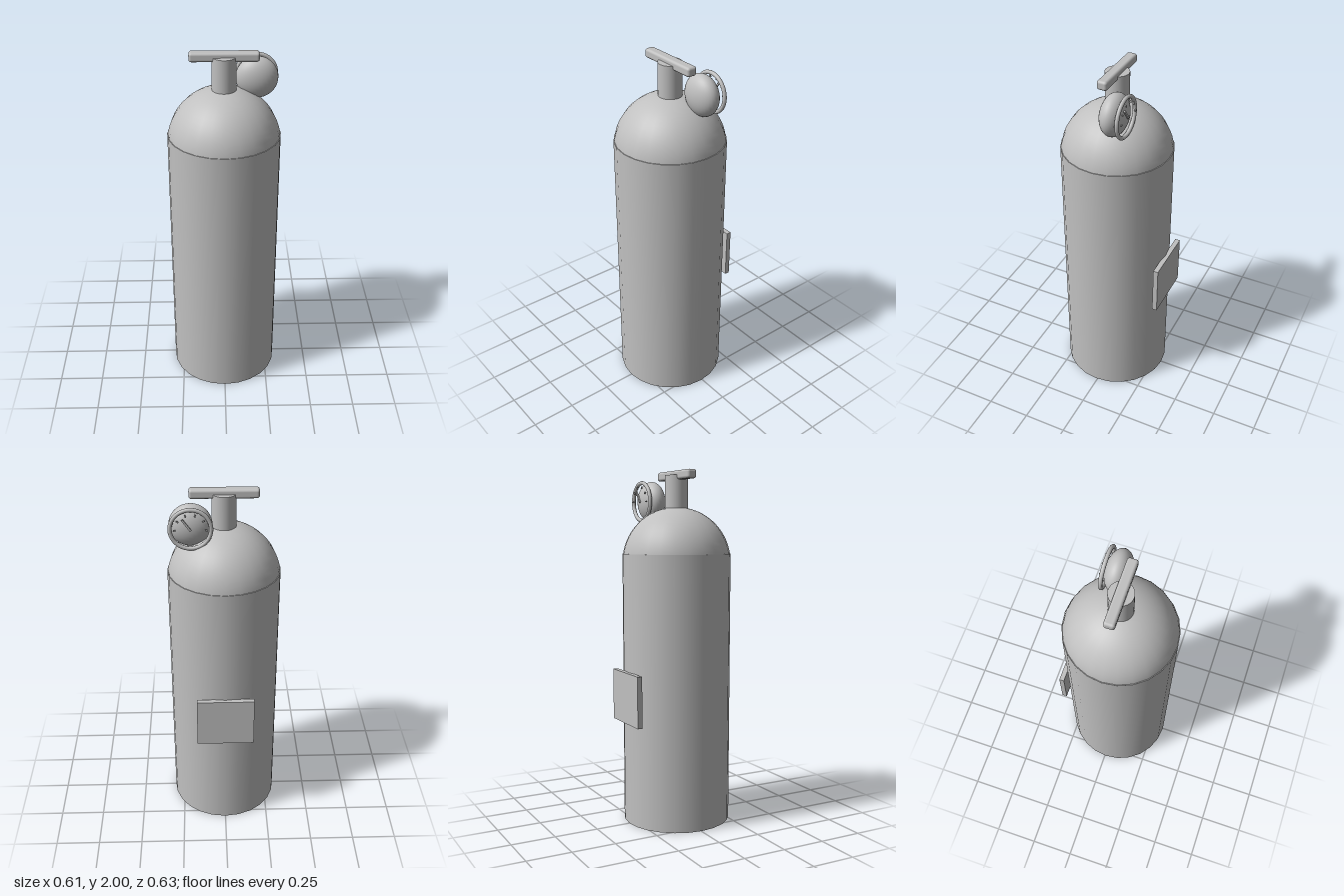
import * as THREE from 'three';
import { RoundedBoxGeometry } from 'three/addons/geometries/RoundedBoxGeometry.js';

export function createModel() {
  const group = new THREE.Group();
  const grey = new THREE.MeshStandardMaterial({ color: 0xc0c0c0 });
  grey.name = 'grey';

  function add(parent, name, geometry, x, y, z) {
    const mesh = new THREE.Mesh(geometry, grey);
    mesh.name = name;
    mesh.position.set(x, y, z);
    parent.add(mesh);
    return mesh;
  }

  const axisZ = 0.008;
  const radius = 0.307;

  // Tank with a domed shoulder
  add(group, 'tank', new THREE.CylinderGeometry(radius, radius, 1.54, 24), 0, 0.77, axisZ);
  add(group, 'shoulder', new THREE.SphereGeometry(radius, 24, 16, 0, Math.PI * 2, 0, Math.PI / 2), 0, 1.493, axisZ);

  // Valve neck and cross handle
  add(group, 'valveNeck', new THREE.CylinderGeometry(0.065, 0.065, 0.2, 32), 0, 1.875, axisZ);
  add(group, 'handle', new RoundedBoxGeometry(0.366, 0.05, 0.057, 3, 0.014), 0, 1.975, axisZ);

  // Label plate on the back
  add(group, 'backPlate', new THREE.BoxGeometry(0.32, 0.29, 0.028), 0, 0.735, -0.305);

  // Pressure gauge facing backwards
  const gauge = new THREE.Group();
  gauge.name = 'gauge';
  gauge.position.set(0.175, 1.832, -0.062);
  group.add(gauge);
  add(gauge, 'gaugeBody', new THREE.SphereGeometry(0.114, 32, 20), 0, 0, 0).scale.z = 0.61;
  add(gauge, 'gaugeRim', new THREE.TorusGeometry(0.106, 0.011, 10, 40), 0, 0, -0.061);

  // Scale marks across the upper half of the dial
  for (let i = 0; i < 6; i++) {
    const a = (i * Math.PI) / 5;
    const mark = add(gauge, 'scaleMark', new THREE.BoxGeometry(0.013, 0.007, 0.007),
      0.082 * Math.cos(a), 0.082 * Math.sin(a), -0.074);
    mark.rotation.z = a;
  }

  // Needle
  const angle = 0.95;
  const needle = add(gauge, 'needle', new THREE.BoxGeometry(0.075, 0.01, 0.008),
    0.034 * Math.cos(angle), 0.034 * Math.sin(angle), -0.074);
  needle.rotation.z = angle;

  return group;
}
